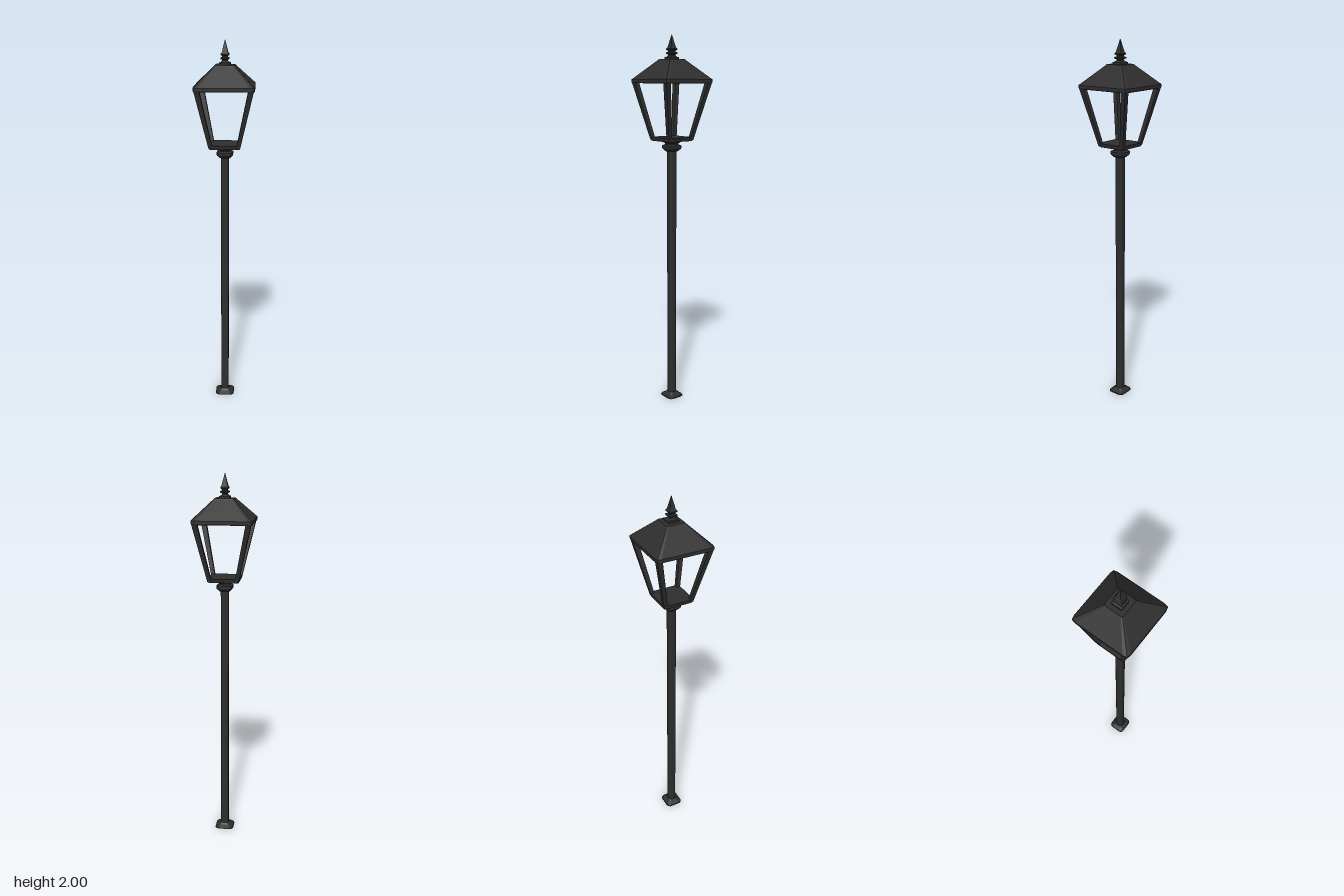
import * as THREE from 'three';

const iron = new THREE.MeshStandardMaterial({ color: 0x2e2e2e, flatShading: true });

// Square ring with softened corners: a = end of the flat side, b = corner pull-in
function ring(y, h, a, b) {
  const pts = [];
  for (let q = 0; q < 4; q++) {
    const c = Math.round(Math.cos(q * Math.PI / 2)), s = Math.round(Math.sin(q * Math.PI / 2));
    for (const [x, z] of [[h, -h * a], [h, h * a], [h * b, h * b]]) {
      pts.push(new THREE.Vector3(x * c - z * s, y, x * s + z * c));
    }
  }
  return pts;
}

// Closed skin over rings listed from bottom to top
function loft(rings) {
  const pos = [];
  const tri = (...v) => v.forEach((p) => pos.push(p.x, p.y, p.z));
  const n = rings[0].length;
  const centre = (r) => r.reduce((m, p) => m.add(p), new THREE.Vector3()).divideScalar(n);
  const low = rings[0], high = rings[rings.length - 1];
  const lowC = centre(low), highC = centre(high);
  for (let i = 0; i < n; i++) {
    const j = (i + 1) % n;
    for (let k = 0; k < rings.length - 1; k++) {
      const r = rings[k], u = rings[k + 1];
      tri(r[i], u[i], r[j]);
      tri(r[j], u[i], u[j]);
    }
    tri(lowC, low[i], low[j]);
    tri(highC, high[j], high[i]);
  }
  const g = new THREE.BufferGeometry();
  g.setAttribute('position', new THREE.Float32BufferAttribute(pos, 3));
  g.computeVertexNormals();
  return g;
}

export function createModel() {
  const model = new THREE.Group();
  model.name = 'streetLamp';

  // Adds a part from a profile of [height, half width]
  const part = (name, profile, a, b) => {
    const mesh = new THREE.Mesh(loft(profile.map(([y, h]) => ring(y, h, a, b))), iron);
    mesh.name = name;
    model.add(mesh);
    return mesh;
  };

  // Flared foot and pole
  const foot = part('foot', [[0, 0.052], [0.006, 0.05], [0.016, 0.032], [0.026, 0.022]], 0.65, 0.87);
  foot.scale.z = 0.94;
  part('pole', [[0.02, 0.021], [1.41, 0.021]], 0.55, 0.84);

  // Moulded collar under the lantern
  part('collar', [
    [1.4, 0.028], [1.412, 0.04], [1.418, 0.043], [1.43, 0.043],
    [1.437, 0.03], [1.443, 0.03], [1.447, 0.038], [1.457, 0.038],
  ], 0.55, 0.85);

  // Lantern floor
  part('lanternFloor', [[1.455, 0.08], [1.475, 0.084]], 0.84, 0.965);

  // Four leaning corner posts
  const posts = new THREE.Group();
  posts.name = 'lanternPosts';
  const shifted = (y, h, d) => ring(y, h, 0.85, 0.97).map((p) => p.add(new THREE.Vector3(d, 0, d)));
  const postGeometry = loft([shifted(1.46, 0.0105, 0.071), shifted(1.765, 0.014, 0.137)]);
  for (let i = 0; i < 4; i++) {
    const post = new THREE.Mesh(postGeometry, iron);
    post.name = 'lanternPost';
    post.rotation.y = i * Math.PI / 2;
    posts.add(post);
  }
  model.add(posts);

  // Hipped roof with an upright eave
  part('roof', [[1.755, 0.152], [1.76, 0.155], [1.775, 0.155], [1.873, 0.053], [1.877, 0.05]], 0.84, 0.97);

  // Stepped square finial with a spike
  part('finial', [
    [1.875, 0.028], [1.887, 0.028], [1.889, 0.021], [1.896, 0.014], [1.901, 0.014],
    [1.905, 0.022], [1.911, 0.022], [1.915, 0.014], [1.92, 0.014], [1.925, 0.021],
    [1.931, 0.021], [1.937, 0.016], [2, 0.001],
  ], 0.9, 0.98);

  return model;
}
